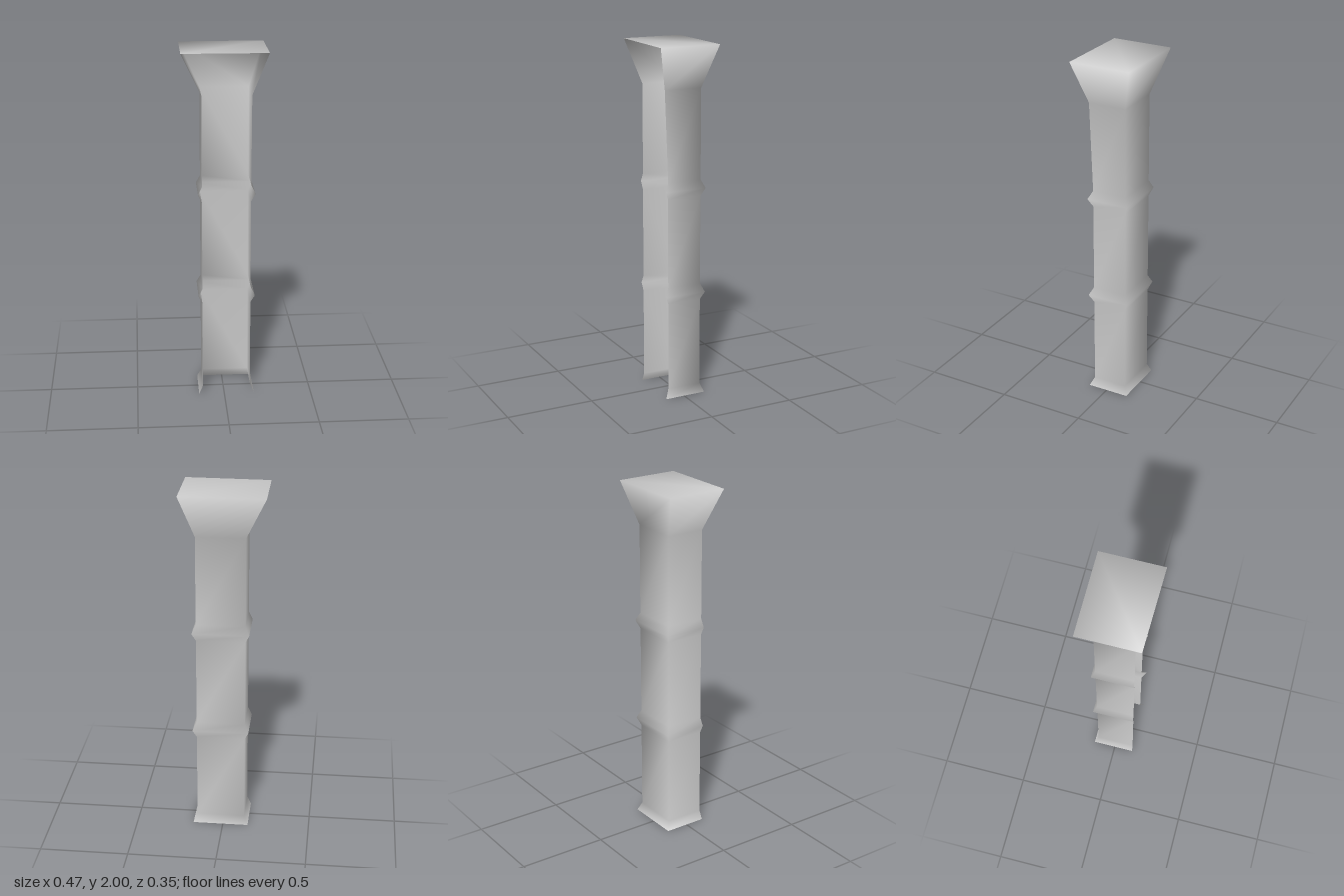
import * as THREE from 'three';

// Channel-shaped post: three thin walls, open at the front and bottom,
// with raised bands and a flared, covered head.
export function createModel() {
  const group = new THREE.Group();
  group.name = 'post';

  // Section kinds: right x, left x, back z, front z of right wall, front z of left wall
  const shaft = [-0.123, 0.15, -0.11, 0.11, 0.09];
  const band = [-0.145, 0.172, -0.13, 0.112, 0.114];
  const neck = [-0.123, 0.15, -0.11, 0.11, 0.11];
  const head = [-0.235, 0.235, -0.177, 0.168, 0.176];

  // Rings from bottom to top
  const rings = [[0, band], [0.05, shaft]];
  for (const y of [0.605, 1.205]) {
    rings.push([y - 0.047, shaft], [y, band], [y + 0.047, shaft]);
  }
  rings.push([1.76, neck], [2, head]);

  const positions = [];
  for (const [y, [xr, xl, back, frontR, frontL]] of rings) {
    positions.push(xr, y, frontR, xr, y, back, xl, y, back, xl, y, frontL);
  }

  // Right, back and left walls between neighbouring rings
  const index = [];
  for (let r = 0; r < rings.length - 1; r++) {
    for (let j = 0; j < 3; j++) {
      const a = r * 4 + j, b = a + 1, c = a + 4, d = a + 5;
      index.push(b, a, c, b, c, d);
    }
  }

  // Top cover, sharing the rim corners so the shading stays smooth
  const t = (rings.length - 1) * 4;
  index.push(t, t + 3, t + 2, t, t + 2, t + 1);

  const geometry = new THREE.BufferGeometry();
  geometry.setAttribute('position', new THREE.Float32BufferAttribute(positions, 3));
  geometry.setIndex(index);
  geometry.computeVertexNormals();

  const mesh = new THREE.Mesh(
    geometry,
    new THREE.MeshStandardMaterial({ color: 0xcccccc, side: THREE.DoubleSide })
  );
  mesh.name = 'bandedColumn';
  group.add(mesh);
  return group;
}
